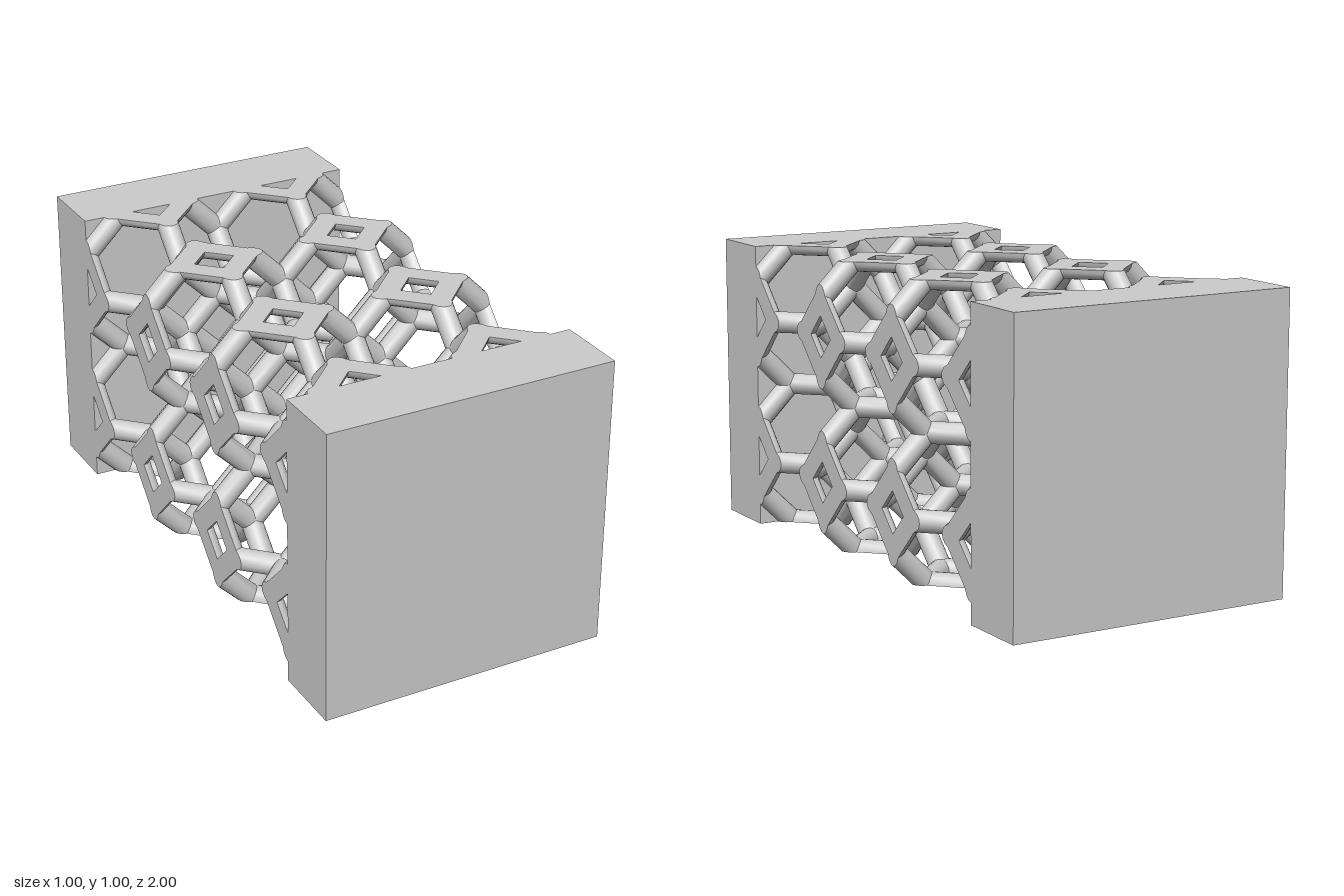
import * as THREE from 'three';
import { mergeGeometries, toCreasedNormals } from 'three/addons/utils/BufferGeometryUtils.js';

const STEP = 0.25;      // half of a lattice cell
const RADIUS = 0.0375;  // strut radius
const LOW = [-0.5, 0, -2], HIGH = [0.5, 1, 2];

// Trim a geometry to the block: slide along the strut where it crosses a side, flatten otherwise
function trim(geometry, direction) {
  const pos = geometry.attributes.position;
  const v = new THREE.Vector3();
  for (let i = 0; i < pos.count; i++) {
    v.fromBufferAttribute(pos, i);
    for (const slide of [true, false]) {
      for (let a = 0; a < 2; a++) {
        const c = v.getComponent(a);
        const limit = Math.min(HIGH[a], Math.max(LOW[a], c));
        if (limit === c) continue;
        const d = direction ? direction.getComponent(a) : 0;
        if (slide && Math.abs(d) > 0.1) v.addScaledVector(direction, (limit - c) / d);
        else if (!slide) v.setComponent(a, limit);
      }
    }
    pos.setXYZ(i, v.x, v.y, v.z);
  }
  return geometry;
}

function makeStrut(a, b) {
  const direction = b.clone().sub(a);
  const geometry = new THREE.CylinderGeometry(RADIUS, RADIUS, direction.length(), 16);
  direction.normalize();
  geometry.applyQuaternion(new THREE.Quaternion().setFromUnitVectors(new THREE.Vector3(0, 1, 0), direction));
  const mid = a.clone().add(b).multiplyScalar(0.5);
  geometry.translate(mid.x, mid.y, mid.z);
  return trim(geometry, direction);
}

function makeJoint(p) {
  const geometry = new THREE.SphereGeometry(RADIUS, 16, 8);
  geometry.translate(p.x, p.y, p.z);
  return trim(geometry, null);
}

function insideBlock(p) {
  const e = 0.001;
  return Math.abs(p.x) < 0.5 + e && p.y > -e && p.y < 1 + e && Math.abs(p.z) < 0.75 + e;
}

export function createModel() {
  const model = new THREE.Group();
  const material = new THREE.MeshStandardMaterial({ color: 0xcccccc });
  const add = (name, geometry) => {
    const mesh = new THREE.Mesh(geometry, material);
    mesh.name = name;
    model.add(mesh);
    return mesh;
  };

  // End plates
  for (const [name, side] of [['frontPlate', 1], ['backPlate', -1]]) {
    add(name, new THREE.BoxGeometry(1, 1, 0.25)).position.set(0, 0.5, side * 0.875);
  }

  // Small solid block behind the front plate
  add('innerBlock', new THREE.BoxGeometry(0.25, 0.25, 0.25)).position.set(-0.125, 0.375, 0.625);

  // Truncated octahedron lattice: every strut is one side of a square cell face
  const struts = [];
  const joints = new Map();
  for (let i = -2; i <= 2; i++) for (let j = 0; j <= 4; j++) for (let k = -3; k <= 3; k++) {
    const odd = [i, j, k].map((n) => Math.abs(n) % 2);
    const sum = odd[0] + odd[1] + odd[2];
    if (sum === 0 || sum === 3) continue; // cell centres carry no face
    const axis = odd.indexOf(sum === 1 ? 1 : 0); // face normal
    const centre = new THREE.Vector3(i, j, k).multiplyScalar(STEP);
    const corners = [0, 1, 2, 3].map((n) => {
      const p = centre.clone();
      const along = (axis + 1 + (n % 2)) % 3;
      return p.setComponent(along, p.getComponent(along) + (n < 2 ? 1 : -1) * STEP / 2);
    });
    corners.forEach((a, n) => {
      const b = corners[(n + 1) % 4];
      if (!insideBlock(a) || !insideBlock(b)) return;
      struts.push(makeStrut(a, b));
      for (const p of [a, b]) joints.set(p.toArray().map((c) => Math.round(c * 1000)).join(), p);
    });
  }
  add('latticeStruts', toCreasedNormals(mergeGeometries(struts), 0.7));
  add('latticeJoints', toCreasedNormals(mergeGeometries([...joints.values()].map(makeJoint)), 0.7));

  return model;
}
